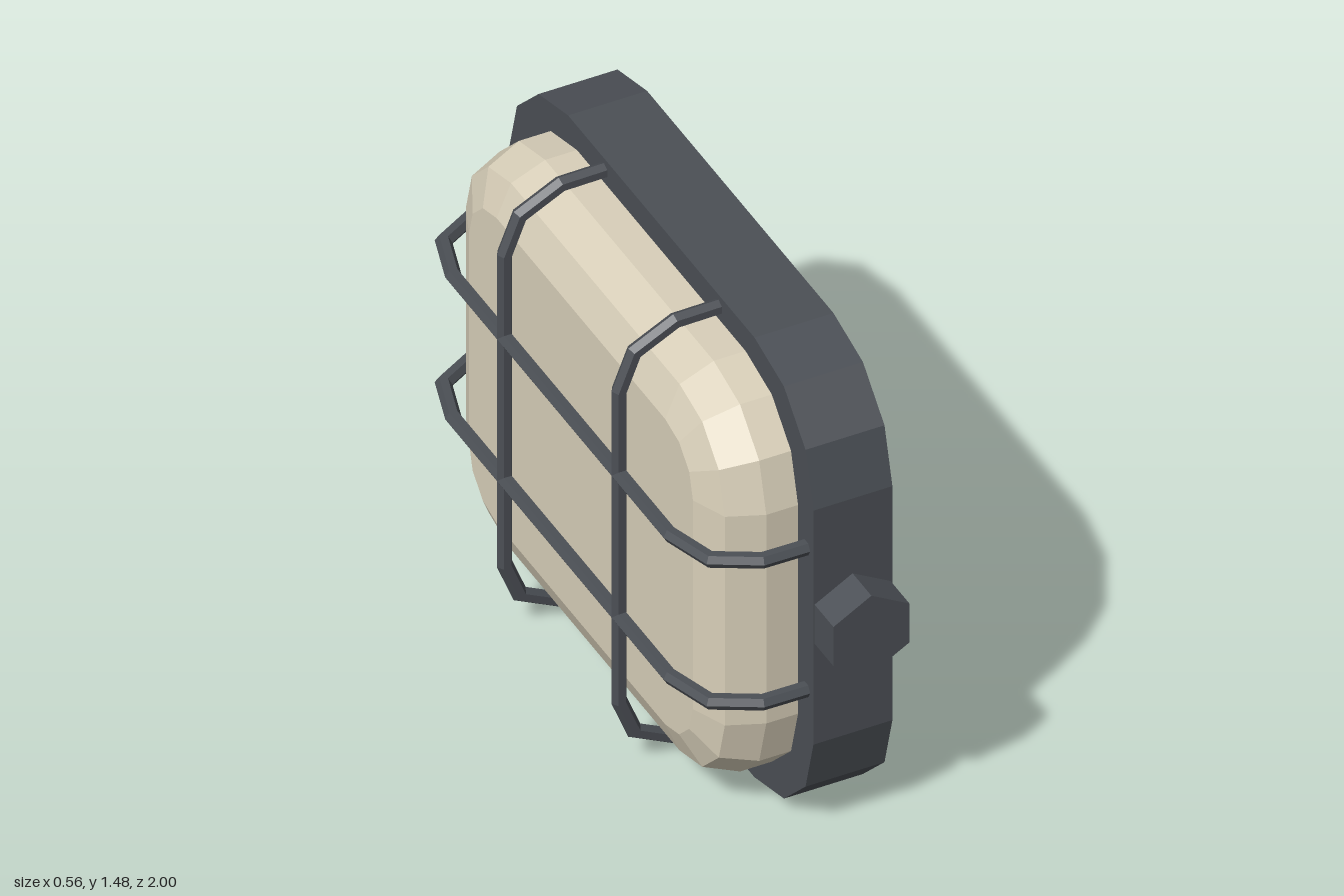
import * as THREE from 'three';

const darkMetal = new THREE.MeshStandardMaterial({ color: 0x4b4f55, flatShading: true });
darkMetal.name = 'dark metal';
const creamGlass = new THREE.MeshStandardMaterial({ color: 0xd8cfb9, flatShading: true });
creamGlass.name = 'cream glass';

const MID = 0.7375; // height of the centre line

// Closed skin over a row of equal rings, with a flat cap at each end
function loft(rings) {
  const n = rings[0].length;
  const index = [];
  for (let i = 0; i < rings.length - 1; i++) {
    for (let j = 0; j < n; j++) {
      const a = i * n + j, b = i * n + (j + 1) % n;
      index.push(a, b, a + n, b, b + n, a + n);
    }
  }
  const last = (rings.length - 1) * n;
  for (let j = 1; j < n - 1; j++) {
    index.push(0, j + 1, j);
    index.push(last, last + j, last + j + 1);
  }
  const g = new THREE.BufferGeometry().setFromPoints(rings.flat());
  g.setIndex(index);
  const flat = g.toNonIndexed();
  flat.computeVertexNormals();
  return flat;
}

// Rounded rectangle in the y-z plane, three facets per corner
function roundedRing(x, halfZ, halfY, radius) {
  const pts = [];
  for (let c = 0; c < 4; c++) {
    const sz = c === 0 || c === 3 ? 1 : -1, sy = c < 2 ? 1 : -1;
    for (let k = 0; k <= 3; k++) {
      const a = (c + k / 3) * Math.PI / 2;
      pts.push(new THREE.Vector3(x,
        MID + sy * (halfY - radius) + radius * Math.sin(a),
        sz * (halfZ - radius) + radius * Math.cos(a)));
    }
  }
  return pts;
}

// Six-sided rod along a planar path with mitred bends; b is the plane's normal
function rod(path, b, radius) {
  const normals = path.slice(1).map((p, i) =>
    b.clone().cross(p.clone().sub(path[i]).normalize()));
  return loft(path.map((p, i) => {
    const before = normals[Math.max(i - 1, 0)];
    const after = normals[Math.min(i, normals.length - 1)];
    const n = before.clone().add(after).normalize();
    n.divideScalar(n.dot(before));
    return Array.from({ length: 6 }, (_, k) => {
      const a = k * Math.PI / 3;
      return p.clone().addScaledVector(n, radius * Math.cos(a))
        .addScaledVector(b, radius * Math.sin(a));
    });
  }));
}

export function createModel() {
  const model = new THREE.Group();
  model.name = 'bulkheadLamp';
  const add = (name, geometry, material) => {
    const mesh = new THREE.Mesh(geometry, material);
    mesh.name = name;
    model.add(mesh);
    return mesh;
  };

  // Backing plate
  add('base', loft([0.276, 0.04].map(x => roundedRing(x, 0.89, MID, 0.345))), darkMetal);

  // Bevelled glass cover: [x, inset]
  const profile = [[0.05, 0], [-0.055, 0], [-0.157, 0.0425], [-0.2, 0.145]];
  add('glassCover', loft(profile.map(([x, d]) =>
    roundedRing(x, 0.8 - d, 0.657 - d, 0.307 - d))), creamGlass);

  // Guard cage: half path as [x, distance from centre], mirrored
  const mirrored = half => [...half, ...half.slice().reverse().map(([x, q]) => [x, -q])];
  const tall = mirrored([[0.06, 0.699], [-0.09, 0.697], [-0.212, 0.635], [-0.257, 0.52]]);
  const wide = mirrored([[0.06, 0.849], [-0.09, 0.847], [-0.212, 0.78], [-0.257, 0.635]]);
  for (const s of [1, -1]) {
    add('verticalGuardBar', rod(
      tall.map(([x, q]) => new THREE.Vector3(x, MID + q, s * 0.335)),
      new THREE.Vector3(0, 0, 1), 0.0225), darkMetal);
    add('horizontalGuardBar', rod(
      wide.map(([x, q]) => new THREE.Vector3(x, MID + 0.004 + s * 0.238, q)),
      new THREE.Vector3(0, 1, 0), 0.0225), darkMetal);

    // Hexagonal cable gland at each end
    const gland = add('cableGland', new THREE.CylinderGeometry(0.131, 0.131, 0.2, 6), darkMetal);
    gland.rotation.x = Math.PI / 2;
    gland.position.set(0.157, 0.748, s * 0.9);
  }
  return model;
}
